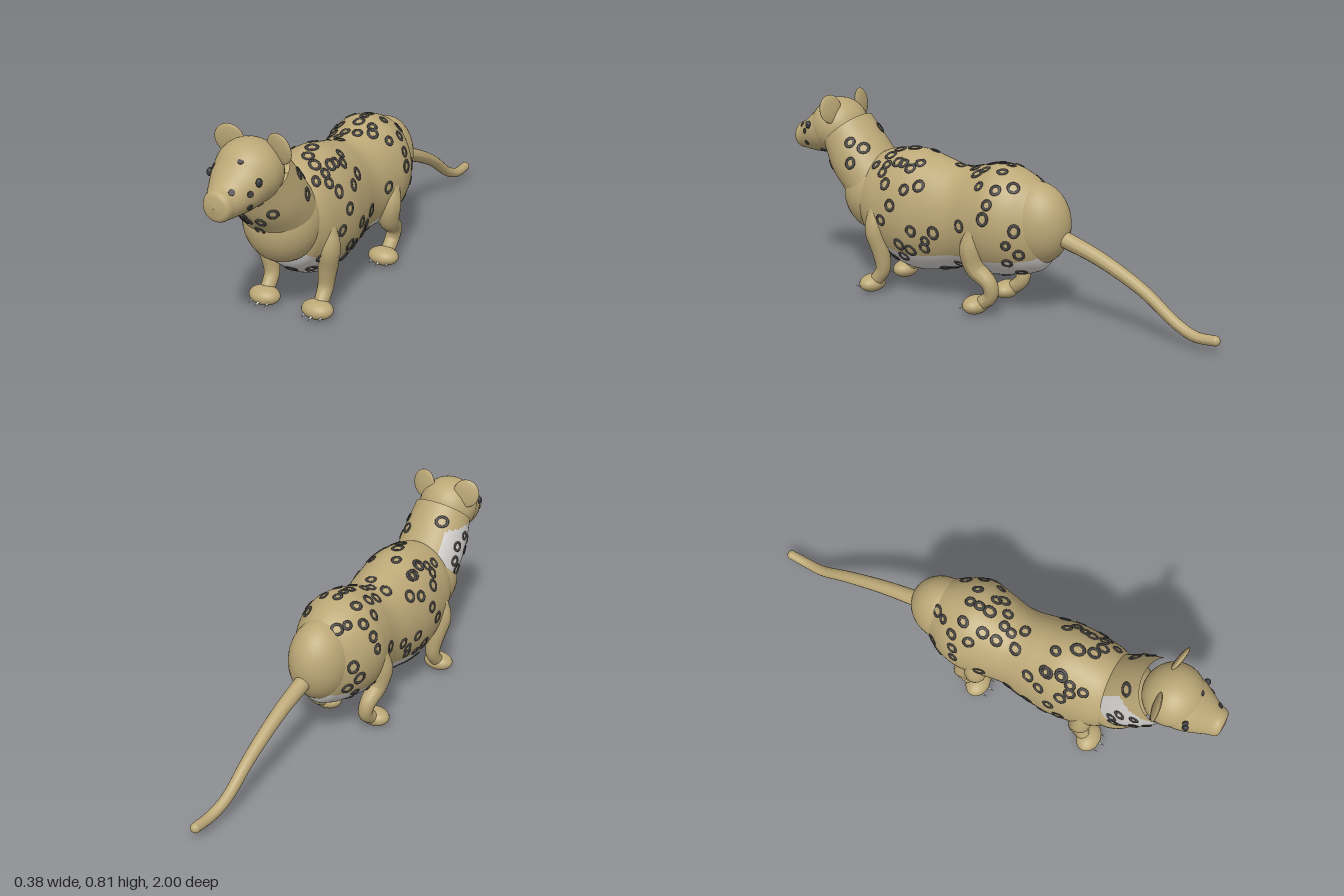
import * as THREE from 'three';
import { mergeGeometries } from 'three/addons/utils/BufferGeometryUtils.js';

const mat = (name, color) => Object.assign(new THREE.MeshStandardMaterial({ color }), { name });

// Smooth interpolation of section rows [u, ...values]
function sample(rows, u) {
  let i = 0;
  while (i < rows.length - 2 && u > rows[i + 1][0]) i++;
  const a = rows[i], b = rows[i + 1], p = rows[Math.max(i - 1, 0)], n = rows[Math.min(i + 2, rows.length - 1)];
  const h = b[0] - a[0], t = THREE.MathUtils.clamp((u - a[0]) / h, 0, 1), t2 = t * t, t3 = t2 * t;
  return a.slice(1).map((_, k) => {
    const m = k + 1;
    const ta = (b[m] - p[m]) / (b[0] - p[0]) * h, tb = (n[m] - a[m]) / (n[0] - a[0]) * h;
    return (2 * t3 - 3 * t2 + 1) * a[m] + (t3 - 2 * t2 + t) * ta + (3 * t2 - 2 * t3) * b[m] + (t3 - t2) * tb;
  });
}

// Rows are [u, z, y, half width, upward y, upward z]; angle 0 is the top of a ring
const surfaceOf = rows => (u, a) => {
  const [z, y, rx, dy, dz] = sample(rows, u);
  return new THREE.Vector3(rx * Math.sin(a), y + dy * Math.cos(a), z + dz * Math.cos(a));
};

// Skin of rings; pick(point, angle) returns the material index of a face
function loft(rows, rings, sides, pick = () => 0) {
  const f = surfaceOf(rows), u0 = rows[0][0], u1 = rows[rows.length - 1][0];
  const pos = [], idx = [[], []];
  for (let i = 0; i <= rings; i++)
    for (let j = 0; j < sides; j++) pos.push(...f(u0 + (u1 - u0) * i / rings, j / sides * Math.PI * 2).toArray());
  for (let i = 0; i < rings; i++)
    for (let j = 0; j < sides; j++) {
      const a = i * sides + j, b = a + sides, c = i * sides + (j + 1) % sides, d = c + sides;
      const ang = (j + 0.5) / sides * Math.PI * 2;
      idx[pick(f(u0 + (u1 - u0) * (i + 0.5) / rings, ang), ang)].push(a, b, c, c, b, d);
    }
  const g = new THREE.BufferGeometry();
  g.setAttribute('position', new THREE.Float32BufferAttribute(pos, 3));
  g.setIndex([...idx[0], ...idx[1]]);
  g.addGroup(0, idx[0].length, 0);
  g.addGroup(idx[0].length, idx[1].length, 1);
  g.computeVertexNormals();
  return g;
}

// Tube whose radius follows a list
function taperTube(points, radii, seg = 32, sides = 16) {
  const curve = new THREE.CatmullRomCurve3(points.map(p => new THREE.Vector3(...p)));
  const g = new THREE.TubeGeometry(curve, seg, 1, sides), p = g.attributes.position, v = new THREE.Vector3();
  const rows = radii.map((r, i) => [i / (radii.length - 1), r]);
  for (let i = 0; i < p.count; i++) {
    const t = Math.floor(i / (sides + 1)) / seg, c = curve.getPointAt(t);
    v.fromBufferAttribute(p, i).sub(c).multiplyScalar(sample(rows, t)[0]).add(c);
    p.setXYZ(i, v.x, v.y, v.z);
  }
  g.computeVertexNormals();
  return g;
}

export function createModel() {
  const model = new THREE.Group();
  const tan = mat('tan fur', 0xbca877), pale = mat('pale fur', 0xcfcdca);
  const dark = mat('dark rosette', 0x454341), eyeMat = mat('eye', 0x34363a), clawMat = mat('claw', 0xd8d6d0);
  const add = (name, geo, m, parent = model) => {
    const mesh = new THREE.Mesh(geo, m);
    mesh.name = name;
    parent.add(mesh);
    return mesh;
  };
  const ball = (name, m, c, r, parent) => {
    const mesh = add(name, new THREE.SphereGeometry(1, 32, 20), m, parent);
    mesh.position.set(...c);
    mesh.scale.set(...r);
    return mesh;
  };

  // Trunk from [z, top, bottom, half width], with pale belly
  const bodyRows = [
    [-0.29, 0.40, 0.36, 0.01], [-0.26, 0.50, 0.23, 0.085], [-0.2, 0.553, 0.182, 0.128], [-0.13, 0.59, 0.165, 0.168],
    [-0.05, 0.608, 0.15, 0.184], [0.02, 0.595, 0.15, 0.174], [0.13, 0.57, 0.15, 0.156], [0.24, 0.595, 0.122, 0.17],
    [0.35, 0.62, 0.108, 0.182], [0.46, 0.61, 0.135, 0.175], [0.54, 0.585, 0.185, 0.158], [0.59, 0.53, 0.24, 0.12],
    [0.62, 0.40, 0.36, 0.01],
  ].map(([z, t, b, w]) => [z, z, (t + b) / 2, w, (t - b) / 2, 0]);
  add('body', loft(bodyRows, 90, 64, (p, a) => (Math.cos(a) < -0.67 ? 1 : 0)), [tan, pale]);
  ball('chest', tan, [0, 0.41, 0.575], [0.15, 0.17, 0.148]);
  ball('rump', tan, [0, 0.385, -0.2], [0.122, 0.168, 0.142]);

  // Neck with a pale patch on its right side
  const neckRows = [
    [0, 0.565, 0.415, 0.14, 0, -0.16], [0.5, 0.655, 0.535, 0.142, 0.05, -0.125], [1, 0.735, 0.655, 0.125, 0.076, -0.086],
  ];
  add('neck', loft(neckRows, 30, 64, p => (p.x < -0.09 && p.y < 0.63 ? 1 : 0)), [tan, pale]);

  // Head, muzzle, ears and eyes
  const head = new THREE.Group();
  head.name = 'head';
  model.add(head);
  ball('skull', tan, [0, 0.67, 0.78], [0.125, 0.12, 0.12], head);
  const muzzleRows = [
    [0.78, 0.665, 0.12, 0.114], [0.86, 0.648, 0.106, 0.102], [0.92, 0.625, 0.08, 0.078], [0.96, 0.611, 0.061, 0.061],
    [0.985, 0.608, 0.054, 0.054], [0.996, 0.608, 0.038, 0.038], [1, 0.608, 0.001, 0.001],
  ].map(([z, y, rx, ry]) => [z, z, y, rx, ry, 0]);
  add('muzzle', loft(muzzleRows, 50, 40), tan, head);
  for (const s of [1, -1]) {
    const ear = ball('ear', tan, [s * 0.103, 0.757, 0.745], [0.057, 0.06, 0.012], head);
    ear.rotation.set(0.15, -s * 0.2, 0);
    ball('eye', eyeMat, [s * 0.101, 0.677, 0.872], [0.011, 0.016, 0.013], head);
  }

  // Legs, paws and claws
  const legs = {
    frontLeg: { path: [[0.148, 0.39, 0.49], [0.145, 0.28, 0.49], [0.13, 0.19, 0.475], [0.12, 0.11, 0.475], [0.12, 0.05, 0.515]],
      radii: [0.02, 0.043, 0.04, 0.032, 0.028], paw: 0.533 },
    hindLeg: { path: [[0.148, 0.36, 0], [0.143, 0.27, 0.015], [0.135, 0.2, 0.0], [0.128, 0.14, -0.06], [0.12, 0.09, -0.06], [0.12, 0.045, -0.01]],
      radii: [0.03, 0.048, 0.044, 0.035, 0.03, 0.028], paw: 0.012 },
  };
  for (const [name, leg] of Object.entries(legs))
    for (const s of [1, -1]) {
      const group = new THREE.Group();
      group.name = (s > 0 ? 'left ' : 'right ') + name;
      model.add(group);
      add('limb', taperTube(leg.path.map(([x, y, z]) => [s * x, y, z]), leg.radii), tan, group);
      ball('paw', tan, [s * 0.118, 0.04, leg.paw], [0.065, 0.037, 0.05], group);
      for (const k of [-1, 0, 1]) {
        const claw = add('claw', new THREE.ConeGeometry(0.008, 0.04, 10), clawMat, group);
        claw.position.set(s * 0.118 + k * 0.036, 0.026, leg.paw + (k ? 0.042 : 0.056));
        claw.rotation.x = Math.PI / 2 + 0.15;
      }
    }

  // Tail
  const tailPath = [[0, 0.345, -0.3], [0, 0.285, -0.48], [0, 0.19, -0.67], [0.005, 0.085, -0.82], [0.015, 0.055, -0.9], [0.018, 0.056, -0.98]];
  add('tail', taperTube(tailPath, [0.034, 0.03, 0.027, 0.024, 0.022, 0.02], 48), tan);
  ball('tail tip', tan, tailPath[5], [0.02, 0.02, 0.02]);

  // Rosettes: thin rings laid on a surface
  const front = new THREE.Vector3(0, 0, 1), spots = [];
  const body = surfaceOf(bodyRows), neck = surfaceOf(neckRows), muzzle = surfaceOf(muzzleRows);
  let seed = 7;
  const rand = () => (seed = (seed * 16807) % 2147483647) / 2147483647;
  const place = (f, u, a, geo) => {
    const p = f(u, a), e = 0.004;
    const n = f(u + e, a).sub(f(u - e, a)).cross(f(u, a + e).sub(f(u, a - e))).normalize();
    geo.applyQuaternion(new THREE.Quaternion().setFromUnitVectors(front, n));
    spots.push(geo.translate(p.x, p.y, p.z));
  };
  const rosette = () => new THREE.TorusGeometry(0.014 + rand() * 0.007, 0.006, 5, 12).scale(1, 1 + rand() * 0.2, 0.6);

  // Flank rosettes as [z, y]
  const flank = [
    [0.51, 0.55], [0.45, 0.56], [0.4, 0.575], [0.33, 0.56], [0.27, 0.5], [0.43, 0.49], [0.39, 0.41], [0.33, 0.48], [0.44, 0.34],
    [0.29, 0.315], [0.19, 0.32], [0.23, 0.28], [0.36, 0.245], [0.24, 0.245], [0.31, 0.225], [0.52, 0.25], [0.06, 0.37],
    [-0.01, 0.535], [-0.09, 0.53], [-0.06, 0.42], [-0.18, 0.38], [-0.15, 0.32], [-0.19, 0.28], [-0.14, 0.24], [-0.15, 0.54],
    [-0.07, 0.475], [0.03, 0.57], [0.46, 0.53],
  ];
  for (const s of [1, -1])
    for (const [z, y] of flank) {
      const u = s > 0 ? z : z * 0.94 - 0.012, [, yc, , ry] = sample(bodyRows, u);
      place(body, u, s * Math.acos(THREE.MathUtils.clamp((y - yc) / ry, -0.97, 0.97)), rosette());
    }
  // Back rosettes as [x, z]
  const back = [
    [-0.07, -0.19], [-0.08, -0.07], [0, -0.08], [0, -0.04], [0, 0.005], [0.065, -0.08], [0.06, 0.005], [-0.08, 0.075],
    [-0.02, 0.08], [0.03, 0.07], [-0.03, 0.115], [-0.075, 0.155], [0, 0.16], [-0.03, 0.305], [0.085, 0.3], [-0.11, 0.31],
    [-0.1, 0.365], [0.01, 0.38], [0.03, 0.44], [0.105, 0.37], [0.07, 0.46],
  ];
  for (const [x, z] of back) place(body, z, Math.asin(x / sample(bodyRows, z)[2]), rosette());
  // Belly rosettes
  for (let i = 0; i < 24; i++) place(body, -0.17 + i * 0.031, Math.PI + (rand() - 0.5) * 1.7, rosette());
  // Neck rosettes as [height along neck, angle]
  const throat = [
    [0.48, 3.4], [0.38, 3.32], [0.28, 3.6], [0.35, 3.5], [0.4, 2.92], [0.6, 2.5], [0.02, 3.14], [0.68, 4.2], [0.5, 4.4],
    [0.13, 4.3], [0.2, 4.6], [0.35, 4.9], [0.72, 4.75], [0.55, 5.0], [0.75, 1.0], [0.62, 0.7], [0.5, 1.3], [0.8, -0.5],
  ];
  for (const [u, a] of throat) place(neck, u, a, rosette());
  // Solid face spots as [z, angle]
  for (const [z, a] of [[0.953, 0.75], [0.905, 1.42], [0.9, 2.05], [0.82, 2.5], [0.865, -1.05], [0.87, 0.28]])
    place(muzzle, z, a, new THREE.CylinderGeometry(0.012, 0.012, 0.007, 8).rotateX(Math.PI / 2));
  add('rosettes', mergeGeometries(spots), dark);
  return model;
}
